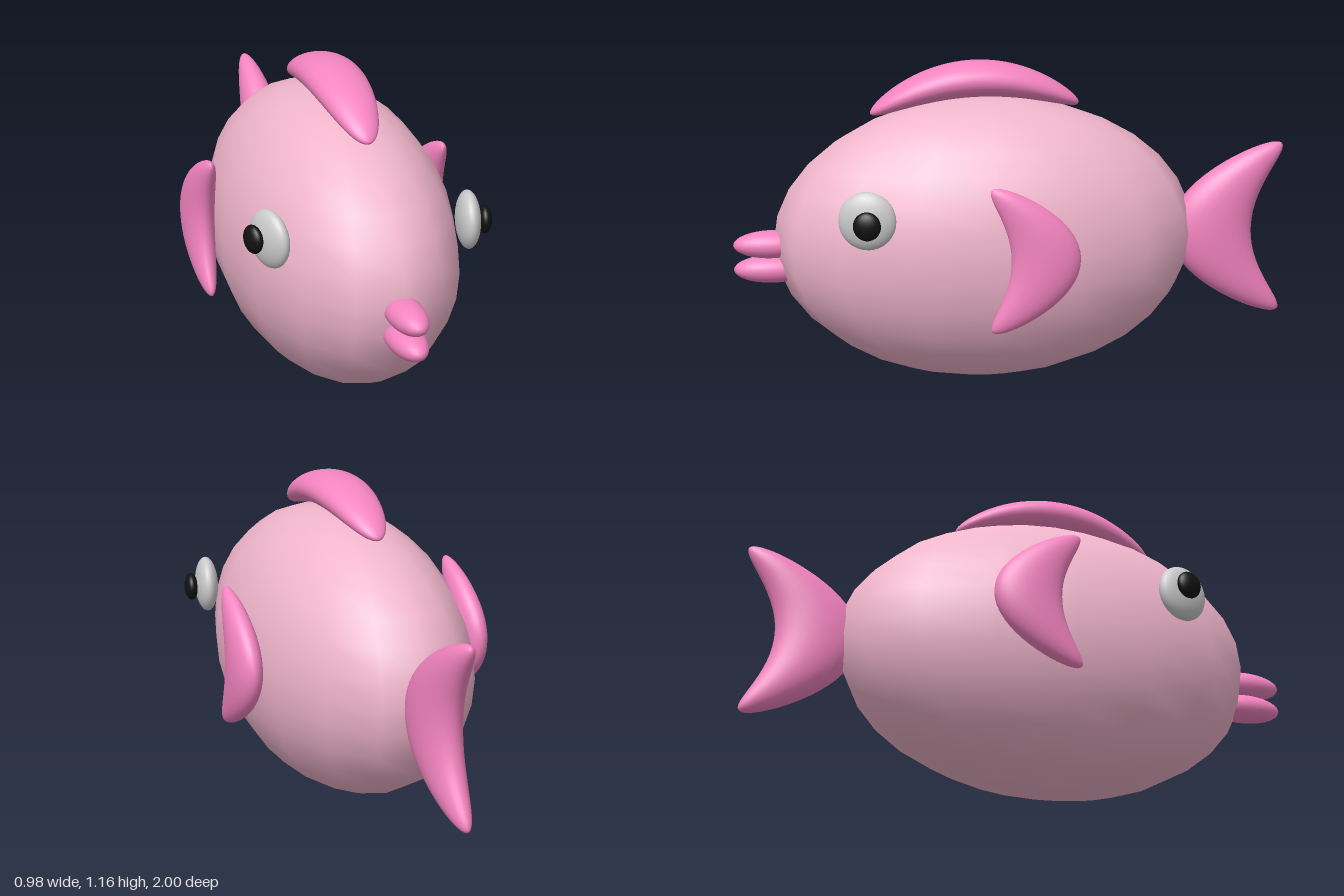
import * as THREE from 'three';
import { mergeVertices } from 'three/addons/utils/BufferGeometryUtils.js';

const material = (color) => new THREE.MeshStandardMaterial({ color });

export function createModel() {
  const group = new THREE.Group();
  const bodyPink = material(0xf0b5cb);
  const finPink = material(0xf484c0);
  const white = material(0xcccccc);
  const black = material(0x111111);

  function add(name, geometry, mat, position, rotation = [0, 0, 0]) {
    const mesh = new THREE.Mesh(geometry, mat);
    mesh.name = name;
    mesh.position.set(...position);
    mesh.rotation.set(...rotation);
    group.add(mesh);
    return mesh;
  }

  const ellipsoid = (rx, ry, rz, w = 32, h = 16) =>
    new THREE.SphereGeometry(1, w, h).scale(rx, ry, rz);

  // Crescent fin: an upright ellipsoid whose ends are bent along z
  function crescent(rx, ry, rz, bend) {
    let g = new THREE.SphereGeometry(1, 32, 32);
    const p = g.attributes.position;
    for (let i = 0; i < p.count; i++) {
      const t = p.getY(i);
      p.setXYZ(i, p.getX(i) * rx, t * ry, p.getZ(i) * rz + bend * t * t);
    }
    g.deleteAttribute('uv');
    g.deleteAttribute('normal');
    g = mergeVertices(g, 1e-5);
    g.computeVertexNormals();
    return g;
  }

  add('body', ellipsoid(0.4, 0.513, 0.763, 16, 16), bodyPink, [0, 0.515, 0.092]);

  // Lips
  add('upperLip', ellipsoid(0.063, 0.05, 0.14), finPink, [-0.005, 0.509, 0.86]);
  add('lowerLip', ellipsoid(0.063, 0.05, 0.14), finPink, [-0.005, 0.419, 0.86]);

  // Eyes, turned slightly forward, with bulging pupils
  const eye = ellipsoid(0.042, 0.102, 0.1);
  const pupil = ellipsoid(0.025, 0.05, 0.048);
  add('leftEye', eye, white, [0.348, 0.67, 0.54], [0, -0.22, 0]);
  add('rightEye', eye, white, [-0.352, 0.68, 0.5], [0, 0.33, 0]);
  add('leftPupil', pupil, black, [0.407, 0.665, 0.545], [0, -0.22, 0]);
  add('rightPupil', pupil, black, [-0.41, 0.688, 0.505], [0, 0.28, 0]);

  // Side fins, tips pointing forward
  const sideFin = crescent(0.055, 0.255, 0.12, 0.17);
  add('leftFin', sideFin, finPink, [0.433, 0.533, -0.065], [0, 0, 0.015]);
  add('rightFin', sideFin, finPink, [-0.435, 0.555, -0.095], [0, 0, -0.015]);

  // Back fin arched over the body
  add('dorsalFin', crescent(0.105, 0.375, 0.065, 0.105), finPink,
    [-0.003, 1.094, 0.132], [Math.PI / 2 + 0.03, 0, 0]);

  // Tail, tips pointing backward
  add('tail', crescent(0.077, 0.32, 0.152, -0.24), finPink, [0.022, 0.52, -0.735]);

  return group;
}
